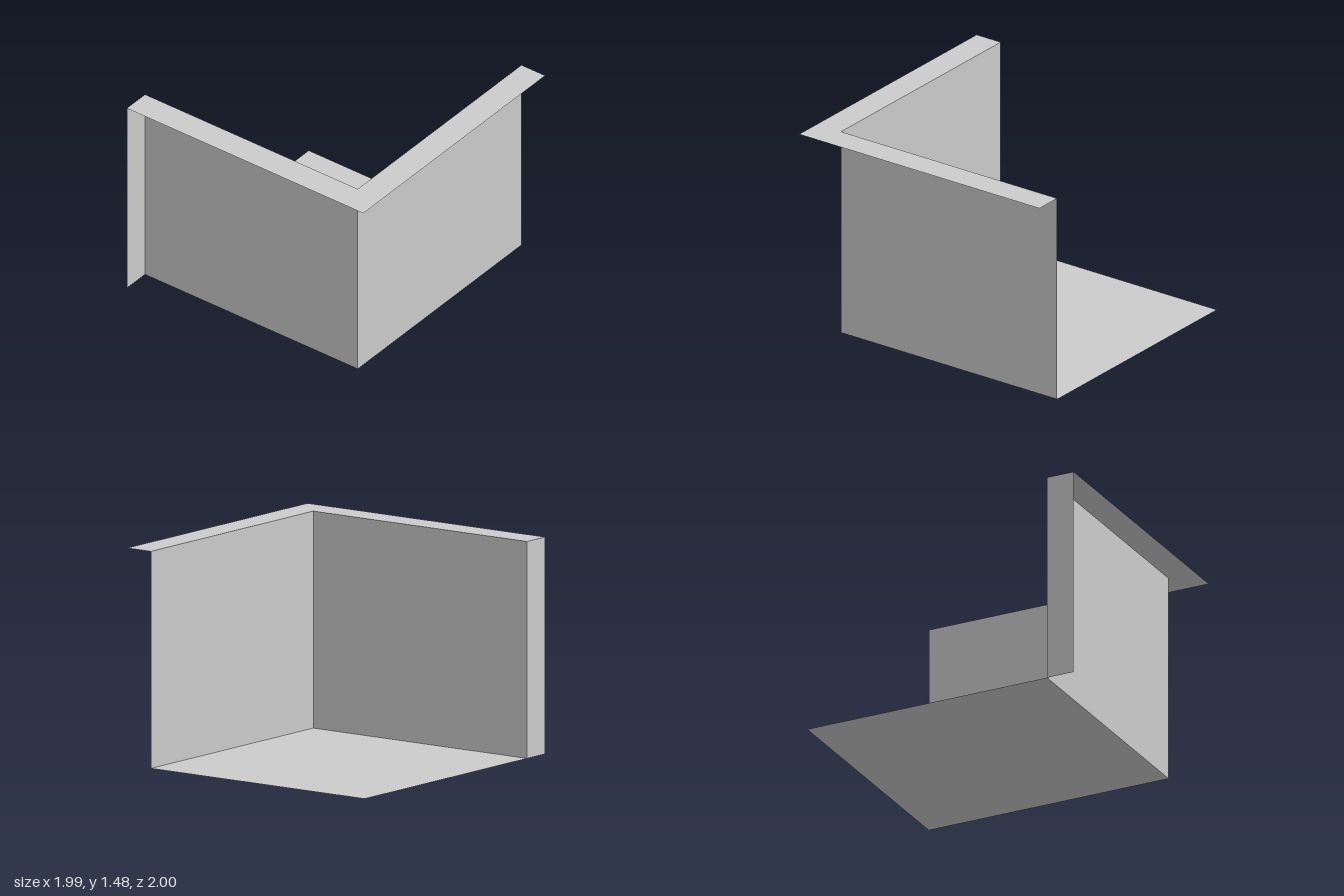
import * as THREE from 'three';

const X0 = -0.996, XW = 0.796, X1 = 0.996; // open end, side wall, outer lip
const Z0 = -1, ZW = 0.8, Z1 = 1;           // open end, front wall, outer lip
const H = 1.477;

export function createModel() {
  const group = new THREE.Group();
  const material = new THREE.MeshStandardMaterial({ color: 0xcccccc, side: THREE.DoubleSide, flatShading: true });

  const add = (name, geometry) => {
    const mesh = new THREE.Mesh(geometry, material);
    mesh.name = name;
    group.add(mesh);
    return mesh;
  };

  // Horizontal sheet from an outline of [x, z] points, facing up
  const sheet = (name, points, y) => {
    const shape = new THREE.Shape(points.map(([x, z]) => new THREE.Vector2(x, -z)));
    add(name, new THREE.ShapeGeometry(shape).rotateX(-Math.PI / 2)).position.y = y;
  };

  // Upright sheet facing +x, spanning z from a to b
  const sideSheet = (name, x, a, b) =>
    add(name, new THREE.PlaneGeometry(b - a, H).rotateY(Math.PI / 2)).position.set(x, H / 2, (a + b) / 2);

  // Floor
  sheet('floor', [[X0, Z0], [X0, ZW], [XW, ZW], [XW, Z0]], 0);

  // Two walls meeting at the front corner
  add('frontWall', new THREE.PlaneGeometry(XW - X0, H)).position.set((X0 + XW) / 2, H / 2, ZW);
  sideSheet('sideWall', XW, Z0, ZW);

  // Upright flange at the open end of the front wall
  sideSheet('endFlange', X0, ZW, Z1);

  // L-shaped lip running outward along the top of both walls
  sheet('topLip', [[X0, ZW], [X0, Z1], [X1, Z1], [X1, Z0], [XW, Z0], [XW, ZW]], H);

  return group;
}
